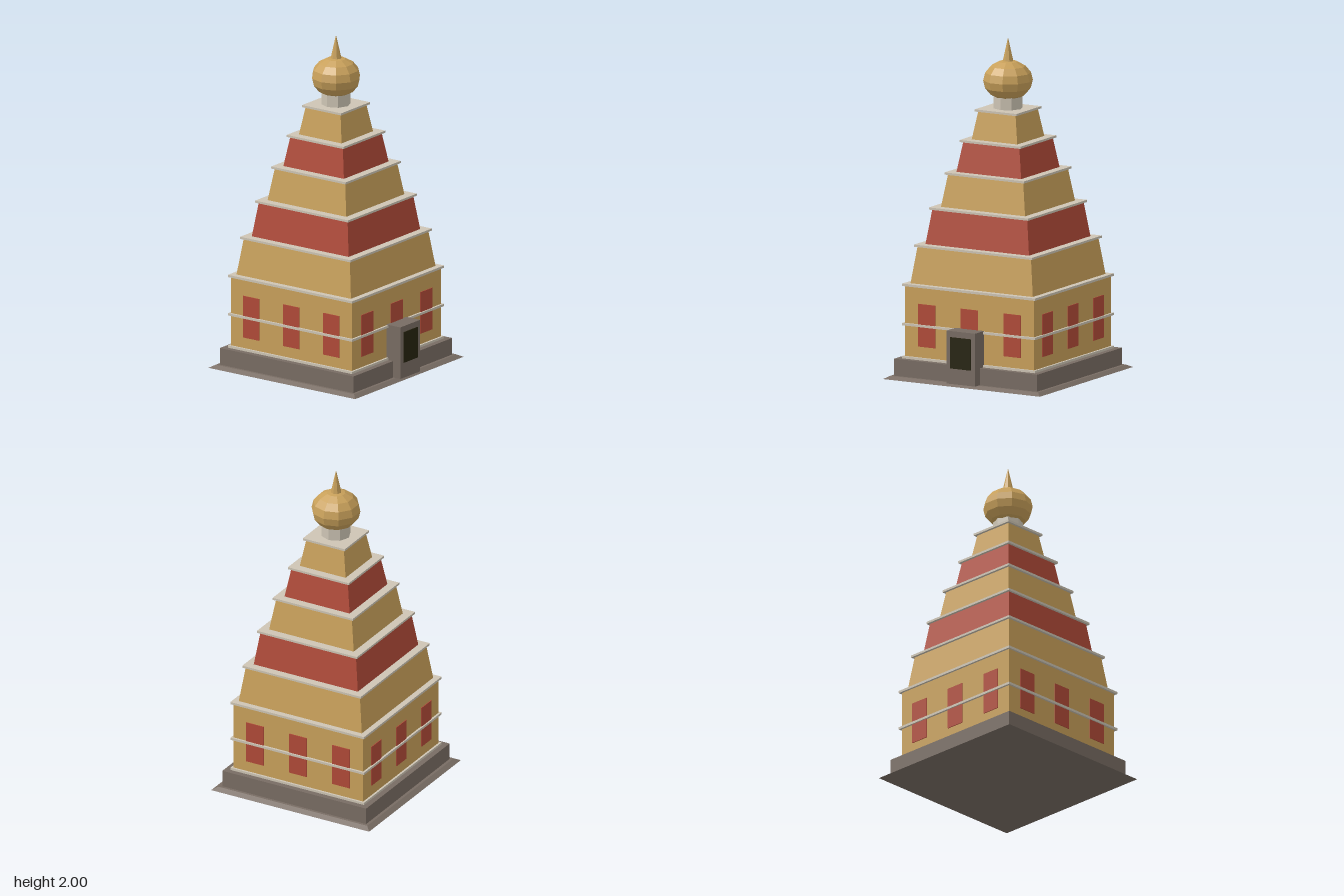
import * as THREE from 'three';

const paint = (name, color) => {
  const m = new THREE.MeshStandardMaterial({ color, flatShading: true });
  m.name = name;
  return m;
};

export function createModel() {
  const gold = paint('gold', 0xc8a05a);
  const red = paint('red', 0xb04a38);
  const cream = paint('cream', 0xcdc4b4);
  const stone = paint('stone', 0x786c63);
  const dark = paint('dark', 0x26230f);

  const model = new THREE.Group();
  model.name = 'tieredTemple';
  const tower = new THREE.Group();
  tower.name = 'tower';
  tower.position.z = -0.006;
  model.add(tower);

  const add = (parent, name, geometry, material, x = 0, y = 0, z = 0) => {
    const mesh = new THREE.Mesh(geometry, material);
    mesh.name = name;
    mesh.position.set(x, y, z);
    parent.add(mesh);
    return mesh;
  };

  // Square block between two heights, with half widths at bottom and top
  const block = (name, y0, y1, bottom, top, material) => {
    const g = new THREE.CylinderGeometry(top * Math.SQRT2, bottom * Math.SQRT2, y1 - y0, 4);
    g.rotateY(Math.PI / 4);
    return add(tower, name, g, material, 0, (y0 + y1) / 2, 0);
  };

  // Base and square main storey
  block('baseSkirt', 0, 0.017, 0.534, 0.503, stone);
  block('plinth', 0.017, 0.118, 0.486, 0.486, stone);
  block('mainWalls', 0.118, 0.55, 0.439, 0.439, gold);
  for (const y of [0.118, 0.315, 0.549]) block('wallBand', y, y + 0.014, 0.452, 0.452, cream);

  // Tapering tiers, each capped by a slab
  const tiers = [
    [0.563, 0.779, 0.416, 0.386, gold],
    [0.792, 0.996, 0.352, 0.323, red],
    [1.009, 1.2, 0.286, 0.256, gold],
    [1.213, 1.389, 0.22, 0.191, red],
    [1.402, 1.567, 0.155, 0.127, gold],
  ];
  for (const [y0, y1, bottom, top, material] of tiers) {
    block('tier', y0, y1, bottom, top, material);
    block('tierSlab', y1, y1 + 0.013, top + 0.015, top + 0.015, cream);
  }

  // Three painted windows on each side
  const pane = new THREE.BoxGeometry(0.117, 0.254, 0.008);
  for (let side = 0; side < 4; side++) {
    const wall = new THREE.Group();
    wall.name = 'windowRow';
    wall.rotation.y = side * Math.PI / 2;
    tower.add(wall);
    for (const x of [-0.291, 0, 0.291]) add(wall, 'window', pane, red, x, 0.324, 0.44);
  }

  // Doorway block with a dark opening
  add(model, 'doorFrame', new THREE.BoxGeometry(0.194, 0.315, 0.112), stone, 0, 0.1755, 0.478);
  add(model, 'doorOpening', new THREE.BoxGeometry(0.138, 0.186, 0.008), dark, 0, 0.204, 0.535);

  // Neck, faceted globe and spire
  add(tower, 'neck', new THREE.CylinderGeometry(0.087, 0.087, 0.09, 8), cream, 0, 1.625, 0);
  const globe = add(tower, 'globe', new THREE.SphereGeometry(0.146, 10, 8), gold, 0, 1.745, 0);
  globe.scale.y = 0.82;
  add(tower, 'spire', new THREE.ConeGeometry(0.034, 0.15, 8), gold, 0, 1.925, 0);

  return model;
}
